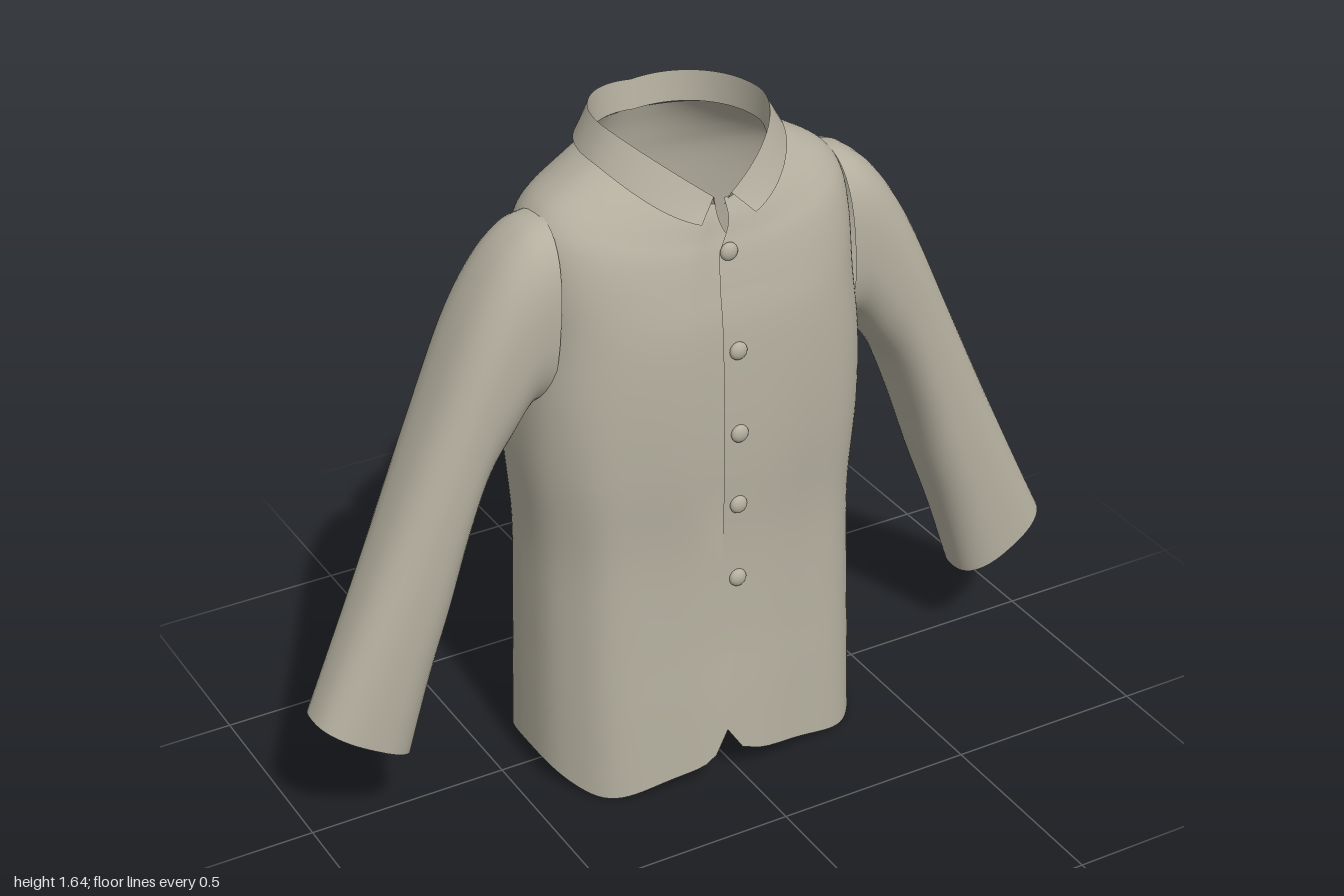
import * as THREE from 'three';
import { mergeVertices } from 'three/addons/utils/BufferGeometryUtils.js';

const { smoothstep, lerp } = THREE.MathUtils;

// Grid surface from a rule point(u, v) -> [x, y, z]
function surface(point, nu, nv, closed = false) {
  const pos = [], index = [];
  for (let j = 0; j <= nv; j++) {
    for (let i = 0; i <= nu; i++) pos.push(...point(closed && i === nu ? 0 : i / nu, j / nv));
  }
  for (let j = 0; j < nv; j++) {
    for (let i = 0; i < nu; i++) {
      const a = j * (nu + 1) + i, d = a + nu + 1;
      index.push(a, a + 1, d, a + 1, d + 1, d);
    }
  }
  let g = new THREE.BufferGeometry();
  g.setAttribute('position', new THREE.Float32BufferAttribute(pos, 3));
  g.setIndex(index);
  if (closed) g = mergeVertices(g, 1e-5);
  g.computeVertexNormals();
  return g;
}

// Catmull-Rom interpolation of every column in a table of cross-sections
function section(rows, v) {
  const f = v * (rows.length - 1);
  const k = Math.min(Math.floor(f), rows.length - 2), t = f - k;
  const at = (i) => rows[Math.max(0, Math.min(rows.length - 1, i))];
  return rows[k].map((p1, c) => {
    const p0 = at(k - 1)[c], p2 = at(k + 1)[c], p3 = at(k + 2)[c];
    return 0.5 * (2 * p1 + (p2 - p0) * t + (2 * p0 - 5 * p1 + 4 * p2 - p3) * t * t
      + (3 * p1 - p0 - 3 * p2 + p3) * t * t * t);
  });
}

// Rounded (superellipse) sine and cosine
const round = (s, n) => Math.sign(s) * Math.pow(Math.abs(s), 2 / n);

// half width, front z, back z, front y, side y, back y, squareness
const BODY = [
  [0.425, 0.295, -0.297, 0.00, 0.00, 0.00, 2.6],
  [0.422, 0.285, -0.290, 0.20, 0.20, 0.20, 2.6],
  [0.418, 0.272, -0.280, 0.42, 0.42, 0.42, 2.6],
  [0.416, 0.265, -0.275, 0.64, 0.64, 0.64, 2.6],
  [0.432, 0.272, -0.283, 0.86, 0.86, 0.86, 2.6],
  [0.430, 0.270, -0.282, 1.04, 1.04, 1.04, 2.6],
  [0.412, 0.260, -0.275, 1.20, 1.20, 1.20, 2.6],
  [0.408, 0.240, -0.265, 1.30, 1.34, 1.32, 2.5],
  [0.398, 0.222, -0.258, 1.37, 1.43, 1.40, 2.3],
  [0.365, 0.208, -0.250, 1.41, 1.485, 1.45, 2.1],
  [0.295, 0.195, -0.240, 1.45, 1.53, 1.50, 2],
  [0.210, 0.175, -0.225, 1.49, 1.575, 1.55, 2],
];

// Torso cloth: wraps from the front edge all the way round to a slight underlap
function bodyPoint(u, v) {
  const [hw, zf, zb, yF, yS, yB, n] = section(BODY, v);
  const neck = smoothstep(yF, 1.37, 1.47);
  const start = lerp(-0.05, 0.04, neck);
  const end = 2 * Math.PI + lerp(lerp(-0.05, 0.04, smoothstep(yF, 0.1, 0.7)), -0.05, neck);
  const phi = start + u * (end - start);
  const s = Math.sin(phi), c = Math.cos(phi);
  const fold = 1 + 0.02 * (1 - smoothstep(yF, 0.5, 1.25)) * Math.cos(8 * phi);
  const tuck = 0.009 * smoothstep(phi, 2 * Math.PI - 0.2, 2 * Math.PI - 0.05) * smoothstep(yF, 0.6, 0.8);
  const edge = Math.min(phi - start, end - phi);
  const hem = 0.027 * (1 + Math.cos(4 * phi)) + 0.09 * Math.exp(-edge / 0.04);
  const y = lerp(yS, c > 0 ? yF : yB, c * c);
  return [
    hw * round(s, n) * (1 + (fold - 1) * c * c),
    y + hem * Math.max(0, 1 - yF / 0.35),
    (c > 0 ? zf : -zb) * round(c, n) * fold - tuck,
  ];
}

// outer x, outer y, inner x, inner y, front z, back z
const SLEEVE = [
  [0.37, 1.475, 0.40, 1.03, 0.140, -0.125],
  [0.43, 1.455, 0.44, 1.02, 0.142, -0.132],
  [0.50, 1.390, 0.49, 0.95, 0.140, -0.130],
  [0.58, 1.260, 0.55, 0.86, 0.138, -0.125],
  [0.685, 1.030, 0.605, 0.72, 0.138, -0.110],
  [0.80, 0.775, 0.655, 0.56, 0.138, -0.090],
  [0.90, 0.560, 0.715, 0.39, 0.138, -0.070],
  [1.00, 0.350, 0.77, 0.21, 0.138, -0.050],
];

function sleevePoint(u, v) {
  const [ox, oy, ix, iy, zf, zb] = section(SLEEVE, v);
  const a = u * 2 * Math.PI, n = 2.5;
  const k = (1 + round(Math.cos(a), n)) / 2;
  return [lerp(ix, ox, k), lerp(iy, oy, k), (zf + zb) / 2 + round(Math.sin(a), n) * (zf - zb) / 2];
}

// Collar edge loops: front gap angle, half width, front z, back z, and a height rule
const COLLAR = {
  stand: { gap: 0.06, rx: 0.20, zf: 0.17, zb: 0.22, y: (s, f) => (f ? 1.47 + 0.1 * s * s : 1.55 + 0.02 * s) },
  fold: { gap: 0.11, rx: 0.203, zf: 0.185, zb: 0.233, y: (s, f) => (f ? 1.485 + 0.16 * s : 1.62 + 0.025 * s) },
  fall: { gap: 0.29, rx: 0.243, zf: 0.222, zb: 0.247, y: (s, f) => (f ? 1.445 + 0.13 * s * s : 1.55 + 0.025 * s) },
};

function collarEdge({ gap, rx, zf, zb, y }, u) {
  const phi = lerp(gap, 2 * Math.PI - gap, u);
  const s = Math.sin(phi), c = Math.cos(phi);
  return [rx * s, y(Math.abs(s), c > 0), (c > 0 ? zf : zb) * c];
}

const collarBand = (low, high) => surface((u, v) => {
  const a = collarEdge(low, u), b = collarEdge(high, u);
  return a.map((p, i) => lerp(p, b[i], v));
}, 72, 4);

export function createModel() {
  const group = new THREE.Group();
  group.name = 'shirt';
  const cloth = new THREE.MeshStandardMaterial({ color: 0xb4af9f, side: THREE.DoubleSide });
  cloth.name = 'beige cloth';
  const add = (name, geometry, parent = group) => {
    const mesh = new THREE.Mesh(geometry, cloth);
    mesh.name = name;
    parent.add(mesh);
    return mesh;
  };

  add('body', surface(bodyPoint, 128, 66));

  // Sleeves, mirrored
  const sleeve = surface(sleevePoint, 40, 42, true);
  add('leftSleeve', sleeve);
  add('rightSleeve', sleeve).scale.x = -1;

  // Folded collar
  const collar = new THREE.Group();
  collar.name = 'collar';
  group.add(collar);
  add('collarFall', collarBand(COLLAR.fall, COLLAR.fold), collar);
  add('collarStand', collarBand(COLLAR.stand, COLLAR.fold), collar);

  // Buttons down the front, seated on the cloth
  const buttons = new THREE.Group();
  buttons.name = 'buttons';
  group.add(buttons);
  const dome = new THREE.SphereGeometry(0.022, 20, 12);
  for (const y of [1.38, 1.15, 0.94, 0.75, 0.55]) {
    let v = 0;
    while (v < 1 && section(BODY, v)[3] < y) v += 0.002;
    const z = bodyPoint(0.012, v)[2];
    const button = add('button', dome, buttons);
    button.position.set(-0.005, y, z + 0.003);
    button.scale.z = 0.6;
  }
  return group;
}
